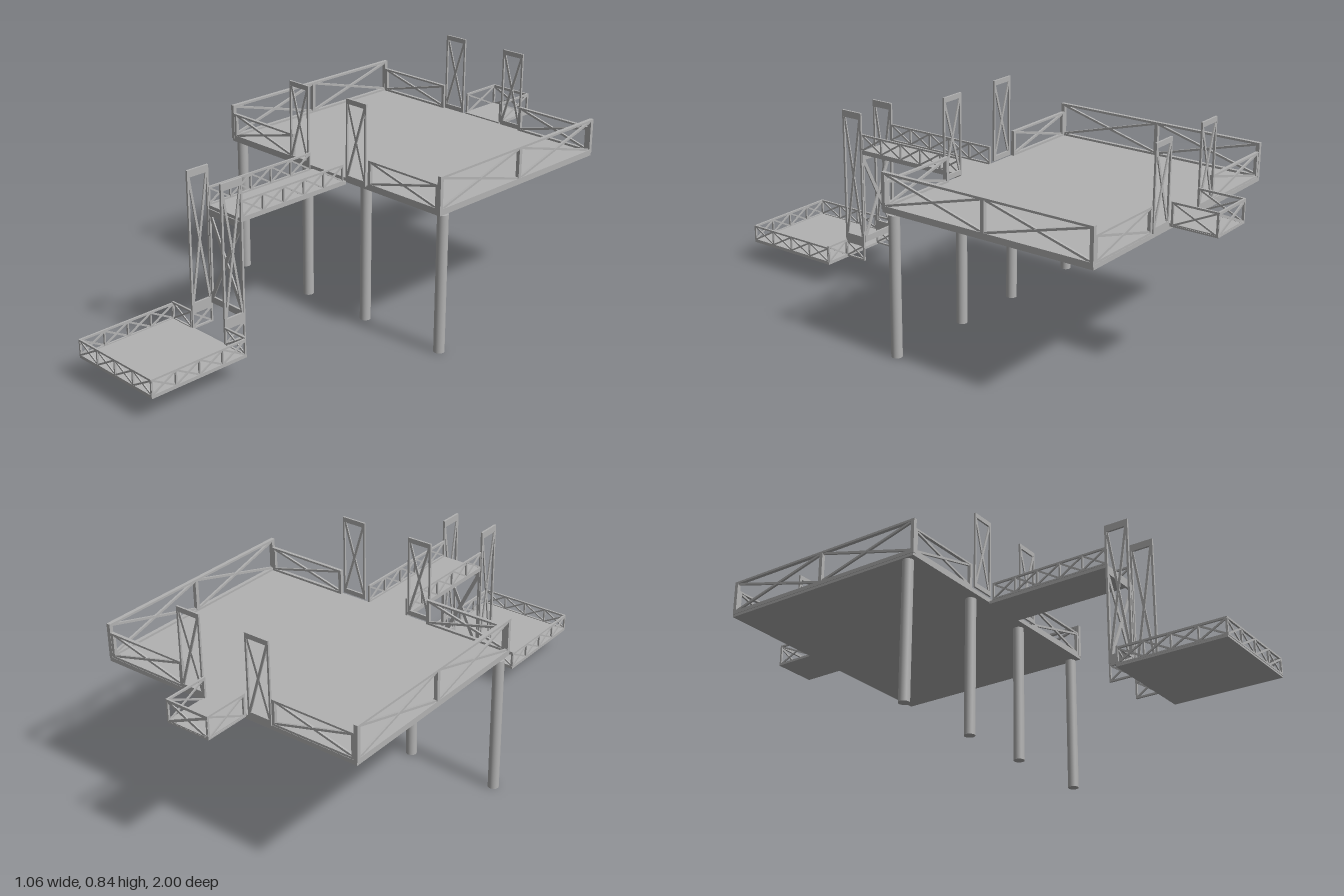
import * as THREE from 'three';

const steel = new THREE.MeshStandardMaterial({ color: 0xb2b2b2 });
steel.name = 'grey steel';

function box(name, w, h, d, x, y, z) {
  const m = new THREE.Mesh(new THREE.BoxGeometry(w, h, d), steel);
  m.name = name;
  m.position.set(x, y, z);
  return m;
}

// Flat cross-braced frame in the XY plane, centred on x, standing on y = 0
function bracedFrame(name, len, h, o = {}) {
  const { bays = 1, post = 0.008, top = 0.008, bottom = 0.008, brace = 0.006, depth = 0.008 } = o;
  const g = new THREE.Group();
  g.name = name;
  g.add(box('topBar', len, top, depth, 0, h - top / 2, 0));
  g.add(box('bottomBar', len, bottom, depth, 0, bottom / 2, 0));
  const step = (len - post) / bays;
  const clearH = h - top - bottom;
  const midY = bottom + clearH / 2;
  for (let i = 0; i <= bays; i++) {
    const x = -len / 2 + post / 2 + i * step;
    g.add(box('post', post, clearH, depth, x, midY, 0));
    if (i === bays) continue;
    const w = step - post;
    for (const s of [-1, 1]) {
      const b = box('brace', Math.hypot(w, clearH), brace, depth * 0.6, x + step / 2, midY, s * 0.0008);
      b.rotation.z = s * Math.atan2(clearH, w);
      g.add(b);
    }
  }
  return g;
}

export function createModel() {
  const model = new THREE.Group();
  model.name = 'steelPlatform';

  // Frame running across x, between x0 and x1
  const across = (name, x0, x1, y0, y1, z, o) => {
    const f = bracedFrame(name, x1 - x0, y1 - y0, o);
    f.position.set((x0 + x1) / 2, y0, z);
    model.add(f);
  };
  // Frame running along z, between z0 and z1
  const along = (name, x, y0, y1, z0, z1, o) => {
    const f = bracedFrame(name, z1 - z0, y1 - y0, o);
    f.rotation.y = Math.PI / 2;
    f.position.set(x, y0, (z0 + z1) / 2);
    model.add(f);
  };

  // Decks
  model.add(box('mainDeck', 1.054, 0.016, 0.84, 0, 0.533, -0.4));
  model.add(box('rearDeck', 0.172, 0.01, 0.18, 0, 0.541, -0.908));
  model.add(box('walkwayDeck', 0.172, 0.012, 0.49, 0, 0.524, 0.267));
  model.add(box('lowerDeck', 0.388, 0.01, 0.4, 0, 0.09, 0.798));

  // Support columns
  for (const x of [-0.51, -0.15, 0.15, 0.51]) {
    const c = new THREE.Mesh(new THREE.CylinderGeometry(0.02, 0.02, 0.52, 24), steel);
    c.name = 'supportColumn';
    c.position.set(x, 0.26, -0.015);
    model.add(c);
  }

  const small = { post: 0.006, top: 0.007, bottom: 0.006, brace: 0.006, depth: 0.007 };
  const tower = { post: 0.007, top: 0.018, bottom: 0.018, brace: 0.009, depth: 0.007 };

  for (const s of [-1, 1]) {
    // Main deck side railings
    along('sideRailing', s * 0.522, 0.535, 0.667, -0.82, 0.022,
      { bays: 2, post: 0.014, top: 0.008, bottom: 0.014, brace: 0.008, depth: 0.014 });

    // Main deck end railings and tall gate frames
    for (const [z, gateZ] of [[0.014, 0.03], [-0.813, -0.82]]) {
      const a = s * 0.19, b = s * 0.516;
      across('endRailing', Math.min(a, b), Math.max(a, b), 0.541, 0.635, z,
        { post: 0.012, top: 0.007, bottom: 0.008, brace: 0.008, depth: 0.012 });
      across('gateFrame', s * 0.143 - 0.048, s * 0.143 + 0.048, 0.541, 0.842, gateZ, tower);
    }

    // Rear balcony sides
    along('rearRailing', s * 0.084, 0.536, 0.622, -0.998, -0.825, { ...small, post: 0.008 });

    // Walkway railings
    along('walkwayRailing', s * 0.084, 0.53, 0.597, 0.036, 0.512, { ...small, bays: 5 });

    // Shaft side frames, with low railing at their feet
    along('shaftSide', s * 0.086, 0.155, 0.678, 0.51, 0.602,
      { post: 0.008, top: 0.026, bottom: 0.032, brace: 0.009, depth: 0.008 });
    along('shaftFootRailing', s * 0.086, 0.09, 0.155, 0.51, 0.602, small);

    // Lower deck side and back railings
    along('lowerSideRailing', s * 0.191, 0.092, 0.155, 0.6, 0.998, { ...small, bays: 4 });
    across('lowerBackRailing', s * 0.14 - 0.052, s * 0.14 + 0.052, 0.092, 0.16, 0.601, small);
  }

  // Rear balcony end, shaft back frame and lower deck front railing
  across('rearEndRailing', -0.086, 0.086, 0.536, 0.622, -0.995, { ...small, top: 0.01, brace: 0.009 });
  across('shaftBack', -0.084, 0.084, 0.165, 0.518, 0.512,
    { post: 0.008, top: 0.024, bottom: 0.024, brace: 0.014, depth: 0.008 });
  across('lowerFrontRailing', -0.194, 0.194, 0.092, 0.155, 0.996, { ...small, bays: 4 });

  return model;
}
